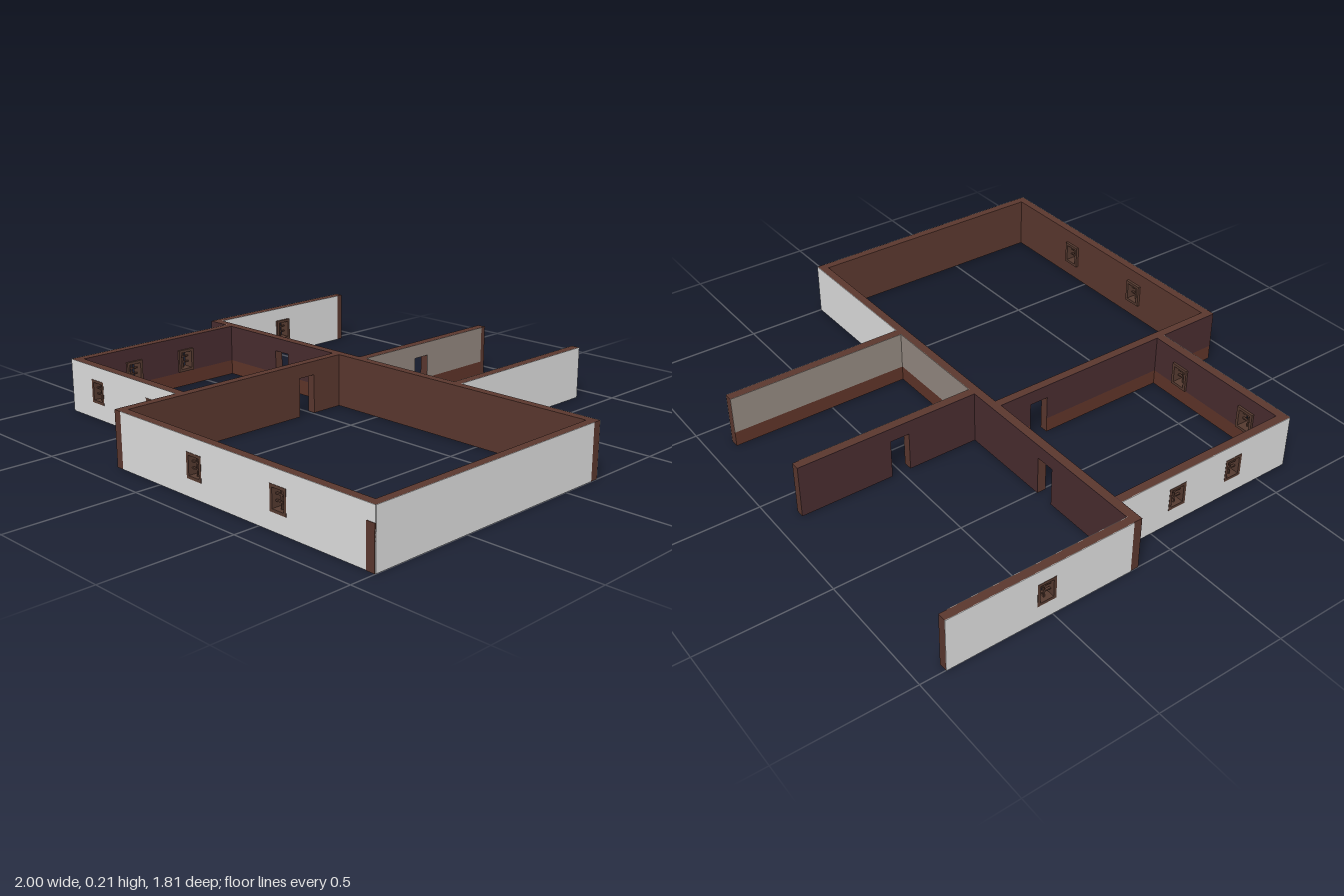
import * as THREE from 'three';
import { mergeGeometries } from 'three/addons/utils/BufferGeometryUtils.js';

const H = 0.21, T = 0.032, SKIN = 0.002, DADO = 0.06;

const material = (name, color) => {
  const m = new THREE.MeshStandardMaterial({ color });
  m.name = name;
  return m;
};

const door = (u) => ({ u0: u - 0.038, u1: u + 0.038, y0: 0, y1: 0.155 });
const pane = (u) => ({ u0: u - 0.037, u1: u + 0.037, y0: 0.064, y1: 0.156, window: true });

// Rectangles that fill a band of wall around its openings
function rects(u0, u1, y0, y1, openings) {
  const out = [];
  const add = (a, b, c, d) => { if (b - a > 1e-4 && d - c > 1e-4) out.push([a, b, c, d]); };
  let u = u0;
  for (const o of openings.filter((o) => o.u0 >= u0 && o.u1 <= u1)) {
    add(u, o.u0, y0, y1);
    add(o.u0, o.u1, y0, Math.min(y1, o.y0));
    add(o.u0, o.u1, Math.max(y0, o.y1), y1);
    u = o.u1;
  }
  add(u, u1, y0, y1);
  return out;
}

function slab(name, list, z0, z1, mat) {
  const parts = list.map(([a, b, c, d]) =>
    new THREE.BoxGeometry(b - a, d - c, z1 - z0).translate((a + b) / 2, (c + d) / 2, (z0 + z1) / 2));
  const mesh = new THREE.Mesh(mergeGeometries(parts), mat);
  mesh.name = name;
  return mesh;
}

export function createModel() {
  const brown = material('brown timber', 0x5a372e);
  const white = material('white plaster', 0xdedede);
  const plum = material('dark plum paint', 0x482c2f);
  const rust = material('rust dado', 0x5e3428);
  const taupe = material('taupe paint', 0x938880);
  const trim = material('window trim', 0x553a30);

  const model = new THREE.Group();
  model.name = 'floorPlan';

  // Window frame with glazing bars, projecting on the inner side
  function windowFrame(o) {
    const b = 0.011, t = 0.0025, um = (o.u0 + o.u1) / 2;
    const bars = [
      [o.u0, o.u0 + b, o.y0, o.y1], [o.u1 - b, o.u1, o.y0, o.y1],
      [o.u0 + b, o.u1 - b, o.y0, o.y0 + b], [o.u0 + b, o.u1 - b, o.y1 - b, o.y1],
    ];
    const glazing = [[um - t, um + t, o.y0 + b, o.y1 - b]];
    for (const f of [1 / 3, 2 / 3]) {
      const y = o.y0 + b + f * (o.y1 - o.y0 - 2 * b);
      glazing.push([o.u0 + b, o.u1 - b, y - t, y + t]);
    }
    const g = new THREE.Group();
    g.name = 'window';
    g.add(slab('windowFrame', bars, -T / 2 - 0.011, T / 2 + 0.003, trim));
    g.add(slab('glazingBars', glazing, -0.004, 0.004, trim));
    return g;
  }

  // Wall along x or z; each skin is [side, start, end, paint, hasDado]
  // side +1 faces +z on x walls and -x on z walls
  function wall(name, axis, u0, u1, at, openings, skins) {
    const g = new THREE.Group();
    g.name = name;
    g.add(slab('wallCore', rects(u0, u1, 0, H, openings), -T / 2, T / 2, brown));
    for (const [side, a, b, paint, dado] of skins) {
      const z = [side * T / 2, side * (T / 2 + SKIN)].sort((p, q) => p - q);
      const base = dado ? DADO : 0;
      g.add(slab('wallPaint', rects(a, b, base, H, openings), z[0], z[1], paint));
      if (dado) g.add(slab('dado', rects(a, b, 0, DADO, openings), z[0], z[1], rust));
    }
    openings.filter((o) => o.window).forEach((o) => g.add(windowFrame(o)));
    if (axis === 'x') g.position.z = at;
    else { g.rotation.y = -Math.PI / 2; g.position.x = at; }
    model.add(g);
    return g;
  }

  // Long cross wall between the front and rear rooms
  wall('crossWall', 'x', -1, 1, -0.16, [door(-0.545)], [
    [1, -1, -0.24, plum, true],
    [-1, -0.968, -0.128, plum, false],
    [-1, -0.096, 0.36, taupe, true],
    [-1, 0.392, 1, white, false],
  ]);

  // Rear partitions
  wall('rearLeftmostWall', 'z', -0.905, -0.176, -0.984, [pane(-0.525)], [
    [1, -0.905, -0.176, white, false],
    [-1, -0.875, -0.176, white, false],
  ]);
  wall('rearMiddleWall', 'z', -0.905, -0.176, -0.112, [door(-0.5)], [
    [1, -0.905, -0.176, plum, false],
    [-1, -0.88, -0.176, taupe, true],
  ]);
  wall('rearOuterWall', 'z', -0.905, -0.176, 0.376, [], [
    [1, -0.905, -0.176, taupe, true],
    [-1, -0.905, -0.176, white, false],
  ]);

  // Large room: side, front and shared wall
  wall('largeRoomSideWall', 'z', -0.144, 0.866, 0.982, [], [
    [-1, -0.144, 0.898, white, false],
  ]);
  wall('largeRoomFrontWall', 'x', -0.21, 0.998, 0.882, [pane(0.185), pane(0.59)], [
    [1, -0.21, 0.998, white, false],
  ]).add(slab('cornerPost', [[0.964, 0.998, 0, 0.155]], T / 2, T / 2 + 2 * SKIN, brown));
  wall('sharedWall', 'z', -0.144, 0.9, -0.226, [door(0.03)], [
    [1, -0.144, 0.895, plum, true],
  ]);

  // Small room: side and front
  wall('smallRoomSideWall', 'z', -0.144, 0.604, -0.884, [pane(0.11), pane(0.37)], [
    [1, -0.144, 0.636, white, false],
    [-1, -0.144, 0.604, plum, true],
  ]);
  wall('smallRoomFrontWall', 'x', -0.9, -0.242, 0.62, [pane(-0.73), pane(-0.385)], [
    [1, -0.9, -0.242, white, false],
    [-1, -0.868, -0.242, plum, true],
  ]);

  return model;
}
